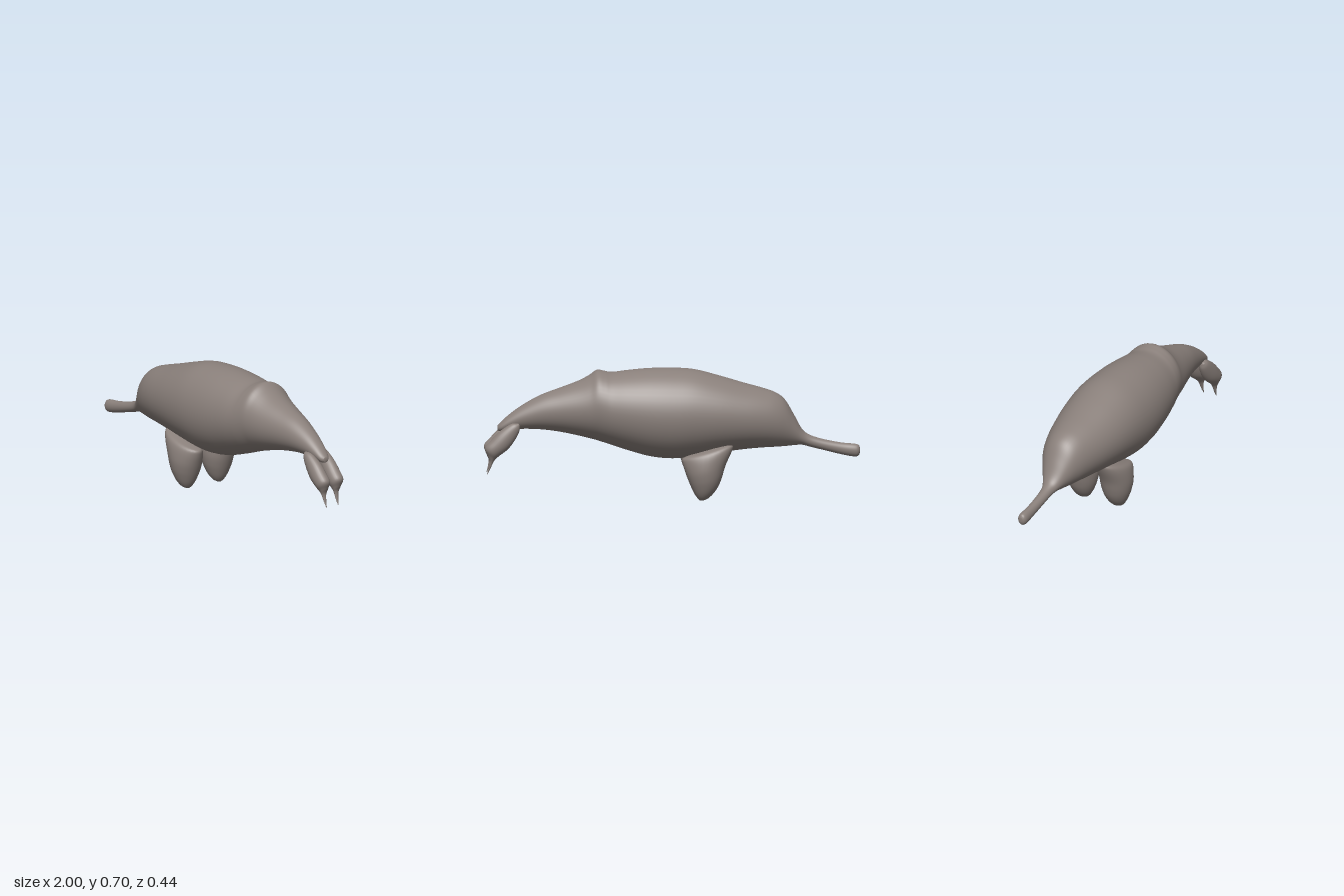
import * as THREE from 'three';

// Skin of elliptical sections. Each row: [x1, y1, x2, y2, z, halfWidth],
// a chord in the side plane plus the half width of the section across z.
function loft(rows, rings, sides, side = 1) {
  const curve = (f) => new THREE.CatmullRomCurve3(rows.map(f), false, 'catmullrom', 0.5);
  const low = curve((r) => new THREE.Vector3(r[0], r[1], 0));
  const high = curve((r) => new THREE.Vector3(r[2], r[3], 0));
  const width = curve((r) => new THREE.Vector3(r[4] * side, Math.max(r[5], 0.001), 0));
  const pos = [], index = [];
  for (let i = 0; i <= rings; i++) {
    const t = i / rings;
    const a = low.getPoint(t), b = high.getPoint(t), w = width.getPoint(t);
    const c = a.clone().add(b).multiplyScalar(0.5), u = b.sub(a).multiplyScalar(0.5);
    for (let j = 0; j < sides; j++) {
      const q = (j / sides) * Math.PI * 2;
      pos.push(c.x + u.x * Math.cos(q), c.y + u.y * Math.cos(q), w.x + w.y * Math.sin(q));
      if (i === rings) continue;
      const k = i * sides + j, n = i * sides + (j + 1) % sides;
      index.push(k, n, k + sides, n, n + sides, k + sides);
    }
  }
  // end caps
  const last = rings * sides, start = pos.length / 3;
  for (const r of [rows[0], rows[rows.length - 1]]) {
    pos.push((r[0] + r[2]) / 2, (r[1] + r[3]) / 2, r[4] * side);
  }
  for (let j = 0; j < sides; j++) {
    const n = (j + 1) % sides;
    index.push(start, n, j, start + 1, last + j, last + n);
  }
  const geo = new THREE.BufferGeometry();
  geo.setAttribute('position', new THREE.Float32BufferAttribute(pos, 3));
  geo.setIndex(index);
  geo.computeVertexNormals();
  return geo;
}

// body stations: [x, belly, back, half width], from beak tip to tail
const BODY = [
  [-1.0, 0.238, 0.262, 0.01], [-0.992, 0.222, 0.277, 0.021], [-0.97, 0.215, 0.284, 0.027],
  [-0.9, 0.228, 0.291, 0.026], [-0.8, 0.253, 0.311, 0.028], [-0.73, 0.271, 0.335, 0.033],
  [-0.69, 0.281, 0.368, 0.047], [-0.645, 0.279, 0.45, 0.074], [-0.6, 0.275, 0.525, 0.102],
  [-0.55, 0.272, 0.563, 0.127], [-0.48, 0.269, 0.588, 0.152], [-0.38, 0.261, 0.616, 0.179],
  [-0.25, 0.245, 0.655, 0.204], [-0.12, 0.225, 0.689, 0.218], [0.0, 0.215, 0.698, 0.222],
  [0.12, 0.228, 0.697, 0.216], [0.24, 0.262, 0.687, 0.2], [0.32, 0.289, 0.678, 0.184],
  [0.36, 0.302, 0.685, 0.175], [0.4, 0.315, 0.69, 0.165], [0.44, 0.326, 0.663, 0.154],
  [0.5, 0.341, 0.632, 0.138], [0.6, 0.362, 0.595, 0.11], [0.7, 0.375, 0.558, 0.084],
  [0.8, 0.378, 0.503, 0.06], [0.87, 0.372, 0.452, 0.043], [0.91, 0.365, 0.415, 0.03],
  [0.928, 0.37, 0.396, 0.014],
];

const FLIPPER = [
  [-0.29, 0.305, -0.08, 0.24, 0.105, 0.02], [-0.32, 0.3, -0.05, 0.225, 0.105, 0.06],
  [-0.313, 0.265, -0.052, 0.195, 0.105, 0.078], [-0.28, 0.19, -0.068, 0.145, 0.105, 0.085],
  [-0.262, 0.13, -0.085, 0.1, 0.105, 0.079], [-0.245, 0.085, -0.1, 0.065, 0.105, 0.067],
  [-0.22, 0.045, -0.115, 0.035, 0.105, 0.051], [-0.19, 0.015, -0.13, 0.013, 0.105, 0.032],
  [-0.165, 0.002, -0.14, 0.002, 0.105, 0.012],
];

const FLUKE = [
  [0.812, 0.402, 0.82, 0.414, 0.052, 0.01], [0.815, 0.37, 0.86, 0.41, 0.049, 0.026],
  [0.84, 0.32, 0.92, 0.37, 0.046, 0.037], [0.875, 0.275, 0.965, 0.325, 0.045, 0.041],
  [0.92, 0.24, 0.998, 0.285, 0.044, 0.038], [0.942, 0.22, 0.987, 0.245, 0.042, 0.024],
  [0.955, 0.2, 0.974, 0.213, 0.041, 0.014], [0.968, 0.17, 0.977, 0.175, 0.04, 0.008],
  [0.983, 0.14, 0.986, 0.14, 0.039, 0.002],
];

export function createModel() {
  const model = new THREE.Group();
  const skin = new THREE.MeshStandardMaterial({ color: 0x8a807b });
  skin.name = 'greySkin';
  const add = (name, geometry) => {
    const mesh = new THREE.Mesh(geometry, skin);
    mesh.name = name;
    model.add(mesh);
  };

  // beak, forehead, trunk, low back hump and tail stock in one skin
  add('body', loft(BODY.map(([x, y0, y1, w]) => [x, y0, x, y1, 0, w]), 135, 48));

  // paired fins, mirrored across z
  for (const [label, side] of [['near', 1], ['far', -1]]) {
    add(label + 'Flipper', loft(FLIPPER, 40, 32, side));
    add(label + 'TailFluke', loft(FLUKE, 40, 28, side));
  }
  return model;
}
